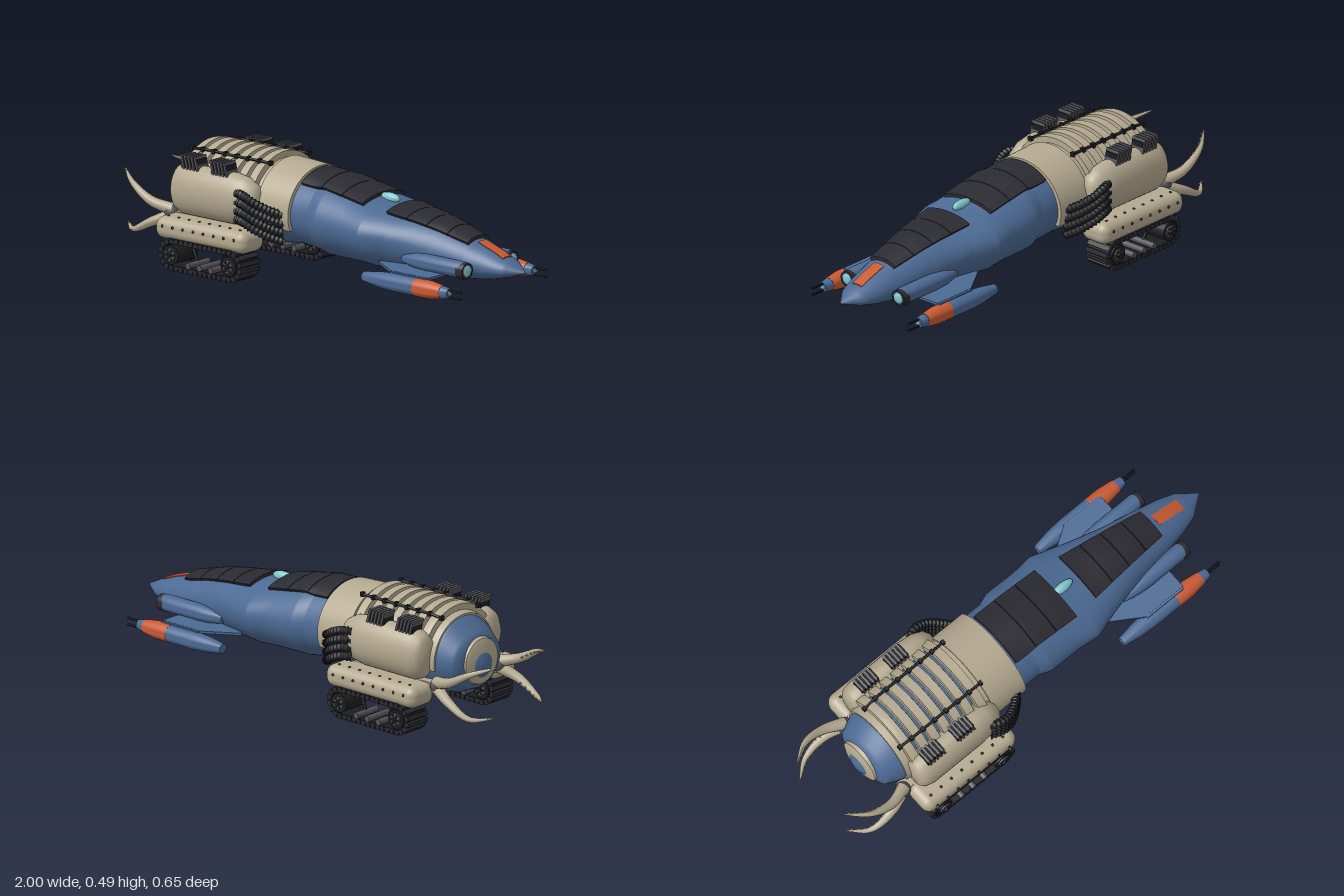
import * as THREE from 'three';
import { mergeVertices, mergeGeometries, toCreasedNormals } from 'three/addons/utils/BufferGeometryUtils.js';
import { RoundedBoxGeometry } from 'three/addons/geometries/RoundedBoxGeometry.js';

const V = (x, y, z) => new THREE.Vector3(x, y, z);

// Hull stations: x, half width, height of widest point, top, bottom
const STATIONS = [
  [-0.785, 0.002, 0.27, 0.272, 0.268], [-0.78, 0.10, 0.27, 0.36, 0.19], [-0.765, 0.135, 0.275, 0.385, 0.16],
  [-0.70, 0.165, 0.28, 0.44, 0.13], [-0.64, 0.18, 0.28, 0.455, 0.12], [-0.25, 0.185, 0.28, 0.455, 0.125],
  [-0.10, 0.185, 0.28, 0.445, 0.138], [0, 0.185, 0.28, 0.437, 0.122], [0.05, 0.204, 0.275, 0.432, 0.115],
  [0.2, 0.205, 0.27, 0.402, 0.113], [0.29, 0.215, 0.265, 0.38, 0.11], [0.4, 0.18, 0.26, 0.362, 0.11],
  [0.5, 0.152, 0.245, 0.352, 0.112], [0.6, 0.13, 0.225, 0.335, 0.118], [0.75, 0.105, 0.205, 0.292, 0.13],
  [0.85, 0.085, 0.195, 0.26, 0.145], [0.92, 0.063, 0.19, 0.232, 0.162], [1, 0.001, 0.19, 0.191, 0.189],
];

function station(x) {
  let i = 0;
  while (i < STATIONS.length - 2 && x > STATIONS[i + 1][0]) i++;
  const a = STATIONS[i], b = STATIONS[i + 1];
  const t = THREE.MathUtils.clamp((x - a[0]) / (b[0] - a[0]), 0, 1);
  return a.map((v, k) => v + (b[k] - v) * t);
}

// Point on the hull at x and angle a (0 = top, positive toward +z), pushed out by off
function hullPoint(x, a, off = 0) {
  const [, w, yc, top, bot] = station(x);
  const c = Math.cos(a);
  return V(x, yc + ((c > 0 ? top - yc : yc - bot) + off) * c, (w + off) * Math.sin(a));
}

function grid(rows, cols, f) {
  const pos = [], idx = [];
  for (let i = 0; i < rows; i++) for (let j = 0; j < cols; j++) pos.push(...f(i, j).toArray());
  for (let i = 0; i < rows - 1; i++) for (let j = 0; j < cols - 1; j++) {
    const a = i * cols + j, b = a + cols;
    idx.push(a, a + 1, b, a + 1, b + 1, b);
  }
  const g = new THREE.BufferGeometry();
  g.setAttribute('position', new THREE.Float32BufferAttribute(pos, 3));
  g.setIndex(idx);
  return g;
}

// Raised plate following the hull; its border rows drop back to the surface
function plate(x0, x1, angle, off, nx = 6, na = 24) {
  return toCreasedNormals(grid(nx + 3, na + 3, (i, j) => {
    const edge = i === 0 || j === 0 || i === nx + 2 || j === na + 2;
    const u = THREE.MathUtils.clamp((i - 1) / nx, 0, 1), v = THREE.MathUtils.clamp((j - 1) / na, 0, 1);
    const x = x0 + (x1 - x0) * u;
    return hullPoint(x, angle(x) * (2 * v - 1), edge ? -0.002 : off);
  }), 0.6);
}
const byWidth = (half) => (x) => Math.asin(Math.min(1, half(x) / station(x)[1]));

// Solid of revolution along x from [x, radius] pairs
const turned = (pts, n = 24) => toCreasedNormals(
  new THREE.LatheGeometry(pts.map(([x, r]) => new THREE.Vector2(r, x)), n).rotateZ(-Math.PI / 2), 0.7);

// Tube whose radius follows a rule r(t)
function variTube(points, r, seg, rad) {
  const curve = new THREE.CatmullRomCurve3(points);
  const g = new THREE.TubeGeometry(curve, seg, 1, rad);
  const p = g.attributes.position, v = V(0, 0, 0);
  for (let i = 0; i < p.count; i++) {
    const t = Math.floor(i / (rad + 1)) / seg, c = curve.getPointAt(t);
    v.fromBufferAttribute(p, i).sub(c).multiplyScalar(r(t)).add(c);
    p.setXYZ(i, v.x, v.y, v.z);
  }
  g.computeVertexNormals();
  return g;
}

function stadium(Path, r, half) {
  const s = new Path();
  s.absarc(half, 0, r, -Math.PI / 2, Math.PI / 2, false);
  s.absarc(-half, 0, r, Math.PI / 2, Math.PI * 1.5, false);
  s.closePath();
  return s;
}

export function createModel() {
  const root = new THREE.Group();
  const paint = (name, color, side = THREE.FrontSide) =>
    Object.assign(new THREE.MeshStandardMaterial({ color, side }), { name });
  const blue = paint('hull blue', 0x4c6a94, THREE.DoubleSide);
  const beige = paint('armour beige', 0xb4a990, THREE.DoubleSide);
  const dark = paint('panel charcoal', 0x2a2a31, THREE.DoubleSide);
  const black = paint('rubber black', 0x1d1e21);
  const grey = paint('metal grey', 0x54545a);
  const orange = paint('marking orange', 0xc95a34, THREE.DoubleSide);
  const cyan = paint('glass cyan', 0x7fc6cd);
  const add = (name, geo, mat, x = 0, y = 0, z = 0) => {
    const m = new THREE.Mesh(geo, mat);
    m.name = name;
    m.position.set(x, y, z);
    root.add(m);
    return m;
  };
  const cylZ = (r, h, n = 20) => new THREE.CylinderGeometry(r, r, h, n).rotateX(Math.PI / 2);

  // Hull
  const xs = [...new Set([...STATIONS.map((s) => s[0]), ...Array.from({ length: 30 }, (_, i) => -0.75 + i * 0.058)])]
    .sort((a, b) => a - b);
  const hull = mergeVertices(grid(xs.length, 49, (i, j) => hullPoint(xs[i], (j / 48) * Math.PI * 2)), 1e-5);
  hull.computeVertexNormals();
  add('hull', hull, blue);

  // Charcoal roof panels in segments with narrow seams
  for (let i = 0; i < 3; i++)
    add('rearRoofPanel', plate(-0.075 + i * 0.108, 0.03 + i * 0.108, byWidth(() => 0.122), 0.014), dark);
  for (let i = 0; i < 4; i++)
    add('frontRoofPanel', plate(0.36 + i * 0.098, 0.455 + i * 0.098, byWidth((x) => 0.107 - (x - 0.36) * 0.12), 0.014), dark);
  add('roofPanelSeams', mergeGeometries([
    plate(-0.07, 0.24, byWidth(() => 0.12), 0.008), plate(0.365, 0.745, byWidth((x) => 0.105 - (x - 0.36) * 0.12), 0.008)]), black);
  add('noseMarking', plate(0.77, 0.9, byWidth(() => 0.025), 0.004), orange);
  add('roofLamp', new THREE.SphereGeometry(1, 20, 14).scale(0.052, 0.022, 0.02), cyan, 0.28, 0.385, 0);

  // Rear armour: collar, shell and ribs
  add('collar', plate(-0.25, -0.085, () => 1.95, 0.016, 6, 40), beige);
  add('rearShell', plate(-0.69, -0.25, () => 1.75, 0.008, 8, 40), beige);
  for (let i = 0; i < 7; i++) {
    const x = -0.64 + i * 0.058;
    add('rib', plate(x - 0.019, x + 0.019, () => 1.25, 0.033, 3, 32), beige);
    if (i < 6) add('ribGap', plate(x + 0.024, x + 0.034, () => 0.85, 0.014, 1, 24), blue);
  }
  add('tailDisc', turned([[-0.797, 0], [-0.797, 0.075], [-0.788, 0.095], [-0.77, 0.1]], 32), beige, 0, 0.275, 0);
  add('tailHub', turned([[-0.81, 0], [-0.808, 0.03], [-0.795, 0.055]], 24), blue, 0, 0.26, 0);

  for (const s of [1, -1]) {
    // Roof pipe with clamps
    const pipe = [];
    for (let x = -0.67; x <= -0.25; x += 0.06) pipe.push(hullPoint(x, s * 0.54, 0.037));
    add('roofPipe', variTube(pipe, () => 0.006, 30, 8), black);
    for (const p of pipe) add('pipeClamp', new THREE.BoxGeometry(0.014, 0.018, 0.018), black, p.x, p.y, p.z);

    // Engine pod with cooling vents
    add('enginePod', turned([[-0.67, 0], [-0.67, 0.07], [-0.655, 0.092], [-0.62, 0.105], [-0.36, 0.105],
      [-0.30, 0.095], [-0.255, 0.07], [-0.24, 0.04], [-0.24, 0]], 32).scale(1, 1, 0.68), beige, 0, 0.315, s * 0.195);
    for (const x of [-0.58, -0.425]) {
      add('ventBase', new THREE.BoxGeometry(0.085, 0.05, 0.056), black, x, 0.425, s * 0.2);
      for (let k = 0; k < 5; k++) {
        add('ventFin', new THREE.BoxGeometry(0.01, 0.06, 0.066), grey, x - 0.036 + k * 0.018, 0.432, s * 0.2).rotation.z = 0.25;
      }
    }

    // Ribbed hoses
    for (let k = 0; k < 4; k++) {
      const y = 0.352 - k * 0.036;
      add('hose', variTube([V(-0.315, y, s * 0.245), V(-0.27, y, s * 0.262), V(-0.22, y - 0.02, s * 0.258),
        V(-0.165, y - 0.05, s * 0.225), V(-0.12, y - 0.072, s * 0.185)],
      (t) => 0.0165 + 0.0025 * Math.sin(t * Math.PI * 28), 84, 10), black);
    }

    // Track skirt with rivets
    add('trackSkirt', new RoundedBoxGeometry(0.48, 0.092, 0.14, 4, 0.038), beige, -0.46, 0.166, s * 0.245);
    add('skirtBracket', new THREE.BoxGeometry(0.36, 0.06, 0.08), beige, -0.46, 0.18, s * 0.16);
    for (let k = 0; k < 8; k++) {
      const x = -0.65 + k * 0.054;
      add('skirtRivet', new THREE.SphereGeometry(0.006, 8, 6), black, x, 0.178, s * 0.314);
      add('skirtRivet', new THREE.SphereGeometry(0.006, 8, 6), black, x, 0.211, s * 0.275);
    }

    // Track belt, pads, wheels and struts
    const tx = -0.455, ty = 0.066, tz = s * 0.2525, half = 0.153, r = 0.056;
    const belt = stadium(THREE.Shape, r, half);
    belt.holes.push(stadium(THREE.Path, r - 0.012, half));
    add('trackBelt', new THREE.ExtrudeGeometry(belt, { depth: 0.112, bevelEnabled: false, curveSegments: 16 })
      .translate(0, 0, -0.056), black, tx, ty, tz);
    const arc = Math.PI * r, total = 2 * arc + 4 * half;
    for (let k = 0; k < 38; k++) {
      let d = (k / 38) * total, px, py, ang;
      if (d < 2 * half) [px, py, ang] = [-half + d, -r, 0];
      else if ((d -= 2 * half) < arc) { ang = d / r; px = half + Math.sin(ang) * r; py = -Math.cos(ang) * r; }
      else if ((d -= arc) < 2 * half) [px, py, ang] = [half - d, r, 0];
      else { ang = Math.PI + (d - 2 * half) / r; px = -half + Math.sin(ang) * r; py = -Math.cos(ang) * r; }
      add('trackPad', new THREE.BoxGeometry(0.019, 0.02, 0.116), grey === null ? black : dark, tx + px, ty + py, tz).rotation.z = ang;
    }
    for (const dx of [-half, half]) {
      add('driveWheel', cylZ(0.04, 0.12), black, tx + dx, ty, tz);
      add('wheelRim', cylZ(0.027, 0.132), grey, tx + dx, ty, tz);
      add('wheelHub', cylZ(0.011, 0.148, 12), black, tx + dx, ty, tz);
      for (let k = 0; k < 6; k++) {
        const a = (k / 6) * Math.PI * 2;
        add('wheelBolt', cylZ(0.005, 0.14, 8), black, tx + dx + Math.cos(a) * 0.019, ty + Math.sin(a) * 0.019, tz);
      }
      add('trackStrut', variTube([V(tx + dx * 0.65, 0.125, tz), V(tx + dx * 0.4, 0.04, tz)], () => 0.007, 2, 8), black);
    }
    for (const dx of [-0.06, 0, 0.06]) add('roller', cylZ(0.013, 0.125, 14), grey, tx + dx, 0.034, tz);

    // Tail pincers with inner teeth
    add('pincerJoint', new THREE.SphereGeometry(0.032, 16, 12), grey, -0.715, 0.2, s * 0.18);
    add('pincerArm', new THREE.BoxGeometry(0.1, 0.04, 0.05), beige, -0.67, 0.19, s * 0.17);
    const upper = [V(-0.71, 0.212, s * 0.18), V(-0.8, 0.238, s * 0.208), V(-0.9, 0.29, s * 0.2), V(-0.998, 0.33, s * 0.14)];
    const lower = [V(-0.71, 0.19, s * 0.18), V(-0.8, 0.152, s * 0.208), V(-0.9, 0.105, s * 0.2), V(-0.982, 0.112, s * 0.14)];
    for (const pts of [upper, lower]) {
      add('pincer', variTube(pts, (t) => 0.002 + 0.024 * (1 - t) ** 0.8, 24, 12), beige);
      const curve = new THREE.CatmullRomCurve3(pts);
      for (let t = 0.4; t < 0.92; t += 0.085) {
        const p = curve.getPointAt(t), rad = 0.024 * (1 - t) ** 0.8;
        add('pincerTooth', new THREE.ConeGeometry(0.007, 0.02, 6).rotateX(-s * Math.PI / 2), beige, p.x, p.y, p.z - s * (rad + 0.004));
      }
    }

    // Headlight pod
    add('headlightPod', turned([[0.47, 0], [0.475, 0.018], [0.54, 0.031], [0.6, 0.035], [0.78, 0.035], [0.805, 0.03], [0.805, 0.024]]),
      blue, 0, 0.195, s * 0.138);
    add('headlightRing', turned([[0.775, 0.036], [0.81, 0.033], [0.81, 0.026]]), dark, 0, 0.193, s * 0.138);
    add('headlightLens', turned([[0.79, 0.027], [0.81, 0.024], [0.816, 0.012], [0.818, 0]]), cyan, 0, 0.193, s * 0.138);

    // Wing and gun pod
    const wing = new THREE.Shape([[0.36, 0.16], [0.5, 0.25], [0.7, 0.25], [0.7, 0.08], [0.4, 0.08]]
      .map(([x, z]) => new THREE.Vector2(x, z * s)));
    add('wing', new THREE.ExtrudeGeometry(wing, { depth: 0.01, bevelEnabled: false }).rotateX(Math.PI / 2), blue, 0, 0.168, 0);
    add('pylon', new THREE.BoxGeometry(0.19, 0.03, 0.02), blue, 0.6, 0.152, s * 0.25);
    const gy = 0.125, gz = s * 0.258;
    add('gunPod', turned([[0.37, 0], [0.37, 0.02], [0.45, 0.032], [0.52, 0.037], [0.65, 0.037]]), blue, 0, gy, gz);
    add('gunBand', turned([[0.65, 0.0375], [0.72, 0.037], [0.785, 0.028]]), orange, 0, gy, gz);
    add('gunNose', turned([[0.785, 0.027], [0.82, 0.02], [0.82, 0.011]]), blue, 0, gy, gz);
    add('gunLens', turned([[0.815, 0.012], [0.822, 0.008], [0.824, 0]], 16), cyan, 0, gy, gz);
    for (const dy of [-0.014, 0.014])
      add('gunBarrel', turned([[0.78, 0], [0.78, 0.005], [0.882, 0.005], [0.882, 0]], 10), black, 0, gy + dy, gz);
  }
  return root;
}
